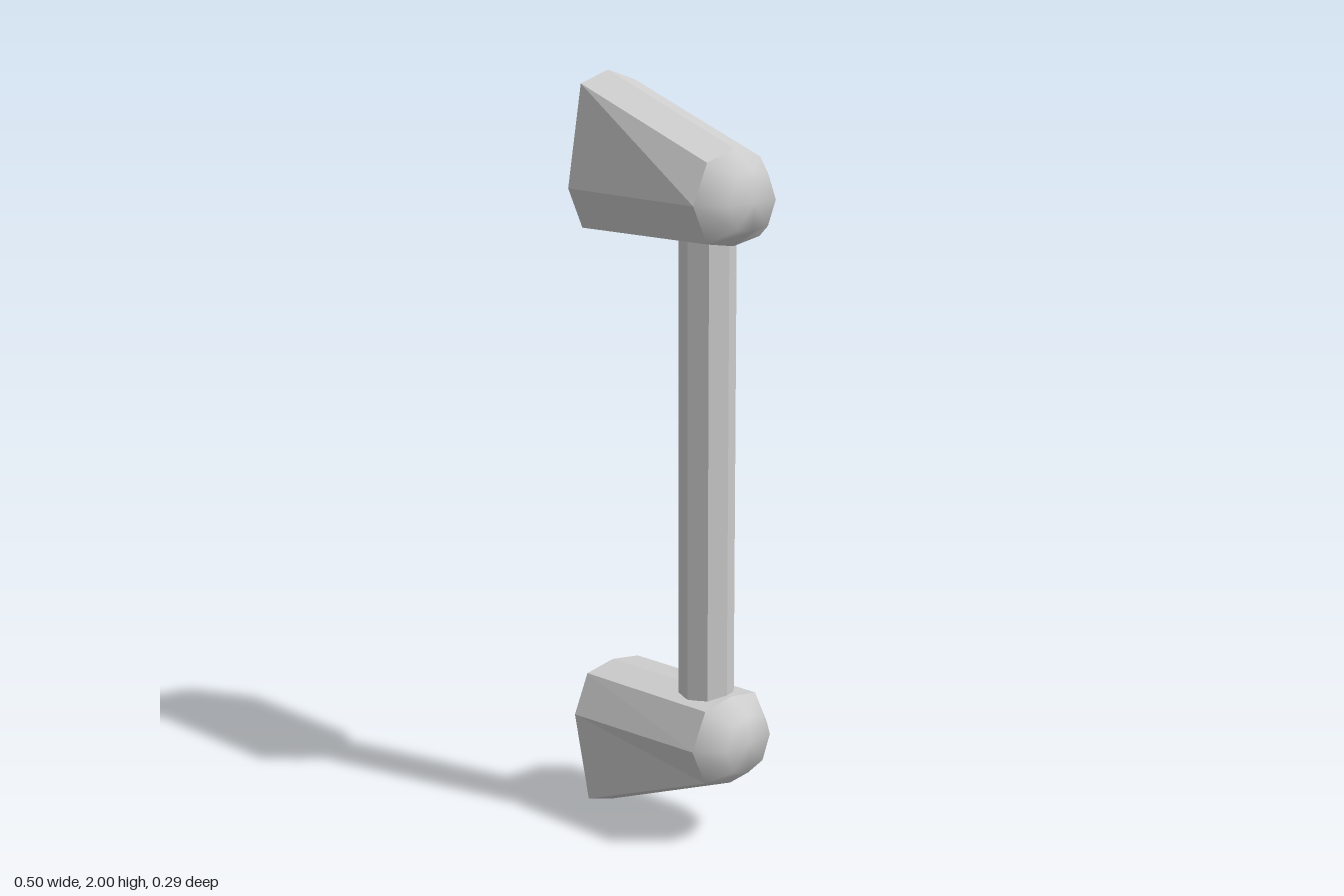
import * as THREE from 'three';
import { mergeVertices } from 'three/addons/utils/BufferGeometryUtils.js';

// Joins equal-length rings of [x, y, z] points, ordered along +x
function loft(rings) {
  const n = rings[0].length, index = [];
  for (let i = 0; i < rings.length - 1; i++) {
    for (let j = 0; j < n; j++) {
      const a = i * n + j, b = i * n + (j + 1) % n;
      index.push(a, b, b + n, a, b + n, a + n);
    }
  }
  let geo = new THREE.BufferGeometry();
  geo.setAttribute('position', new THREE.Float32BufferAttribute(rings.flat(2), 3));
  geo.setIndex(index);
  geo = mergeVertices(geo);
  geo.computeVertexNormals();
  return geo;
}

// Eight-sided section: top ridge, shoulders, widest sides, lower shoulders, bottom ridge
function section(x, top, shoulder, side) {
  const half = [[top, 0], [shoulder, 0.098], [side, 0.147], [0.605, 0.098], [0.59, 0]];
  const other = half.slice(1, 4).reverse().map(([y, z]) => [y, -z]);
  return [...half, ...other].map(([y, z]) => [x, y, z]);
}

// Shrinks a section about its middle and moves it to x
function shrink(ring, x, sy, sz) {
  return ring.map(([, y, z]) => [x, 0.703 + (y - 0.703) * sy, z * sz]);
}

export function createModel() {
  const model = new THREE.Group();
  model.name = 'pullHandle';
  const flat = new THREE.MeshStandardMaterial({ color: 0xcccccc, flatShading: true });
  const smooth = new THREE.MeshStandardMaterial({ color: 0xcccccc });

  const add = (parent, name, geo, mat) => {
    const mesh = new THREE.Mesh(geo, mat);
    mesh.name = name;
    parent.add(mesh);
    return mesh;
  };

  // Flared mount with a flat wall end, and its rounded nose
  const base = section(-0.25, 1.0, 0.97, 0.71);
  const neck = section(0.18, 0.83, 0.803, 0.702);
  const mountGeo = loft([shrink(base, -0.25, 0, 0), base, neck]);
  const noseGeo = loft([neck, shrink(neck, 0.242, 0.64, 0.59), shrink(neck, 0.248, 0, 0)]);

  // The lower mount is the upper one turned over
  for (const [name, turn] of [['upperMount', 0], ['lowerMount', Math.PI]]) {
    const mount = new THREE.Group();
    mount.name = name;
    add(mount, name + 'Body', mountGeo, flat);
    add(mount, name + 'Nose', noseGeo, smooth);
    mount.position.y = 1;
    mount.rotation.x = turn;
    model.add(mount);
  }

  // Octagonal grip bar between the mounts
  const bar = add(model, 'gripBar', new THREE.CylinderGeometry(0.073, 0.073, 1.2, 8), flat);
  bar.position.set(0.094, 1, 0);

  return model;
}
